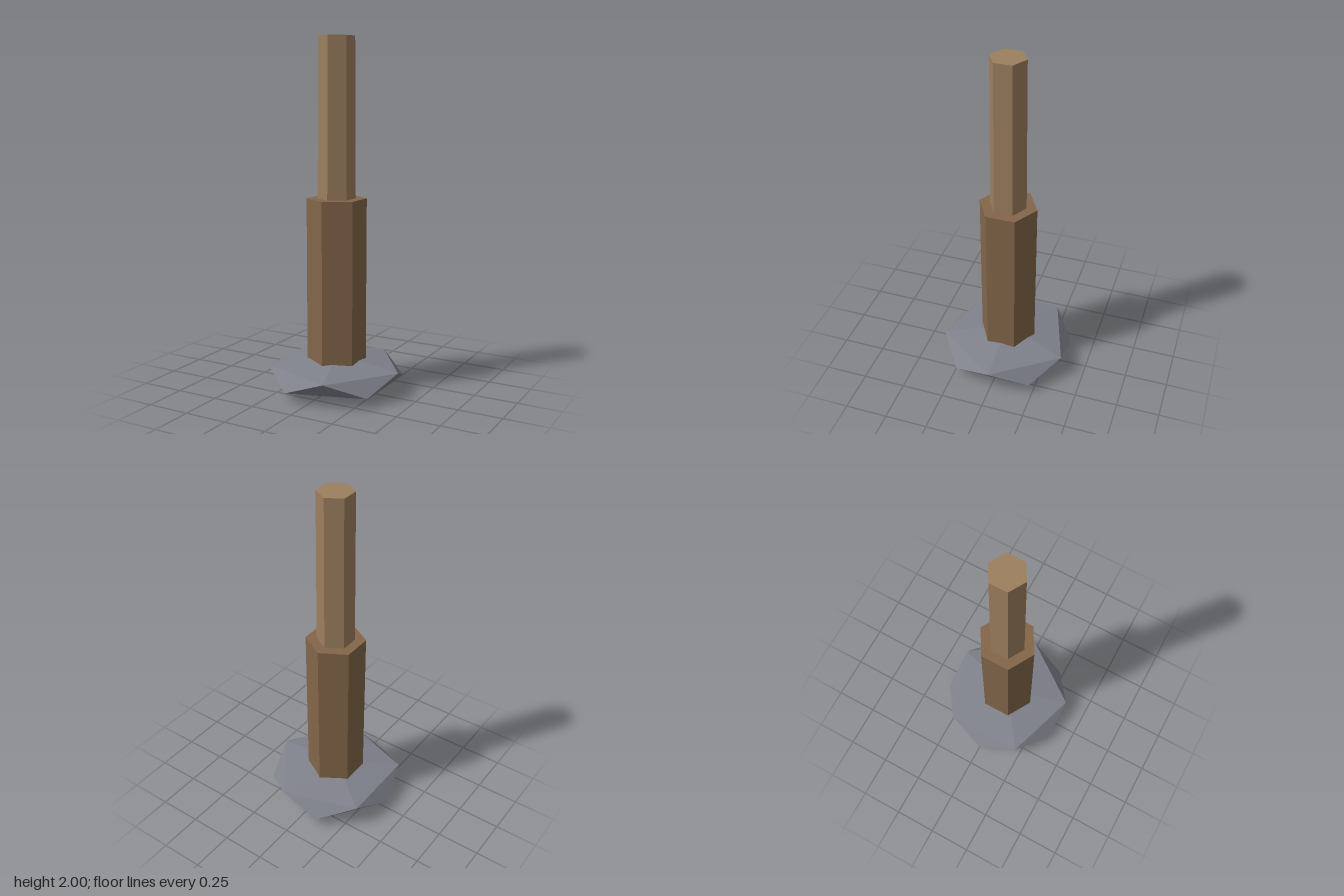
import * as THREE from 'three';

const flat = (color) => new THREE.MeshStandardMaterial({ color, flatShading: true });

function part(name, geometry, material, y) {
  const mesh = new THREE.Mesh(geometry, material);
  mesh.name = name;
  mesh.position.y = y;
  return mesh;
}

// Flattened icosahedron standing on one corner: two poles and two staggered rings of five
function stoneGeometry(radius, ringY, poleY) {
  const points = [0, poleY, 0, 0, -poleY, 0];
  for (let i = 0; i < 10; i++) {
    const a = (i * Math.PI) / 5;
    points.push(radius * Math.cos(a), i % 2 ? -ringY : ringY, -radius * Math.sin(a));
  }
  const ring = (i) => 2 + (i % 10);
  const faces = [];
  for (let i = 0; i < 10; i += 2) {
    faces.push(0, ring(i), ring(i + 2)); // top
    faces.push(1, ring(i + 3), ring(i + 1)); // bottom
    faces.push(ring(i), ring(i + 1), ring(i + 2)); // side, pointing down
    faces.push(ring(i + 1), ring(i + 3), ring(i + 2)); // side, pointing up
  }
  const geometry = new THREE.BufferGeometry();
  geometry.setAttribute('position', new THREE.Float32BufferAttribute(points, 3));
  geometry.setIndex(faces);
  const result = geometry.toNonIndexed();
  result.computeVertexNormals();
  return result;
}

export function createModel() {
  const model = new THREE.Group();
  model.name = 'post';

  // Stone foot
  model.add(part('stoneBase', stoneGeometry(0.39, 0.044, 0.1), flat(0x7f818b), 0.103));

  // Thick lower post and slimmer upper post, both six-sided
  model.add(part('lowerPost', new THREE.CylinderGeometry(0.169, 0.168, 1.0, 6), flat(0x83664a), 0.605));
  model.add(part('upperPost', new THREE.CylinderGeometry(0.101, 0.107, 0.9, 6), flat(0x9c7f5f), 1.55));

  return model;
}
